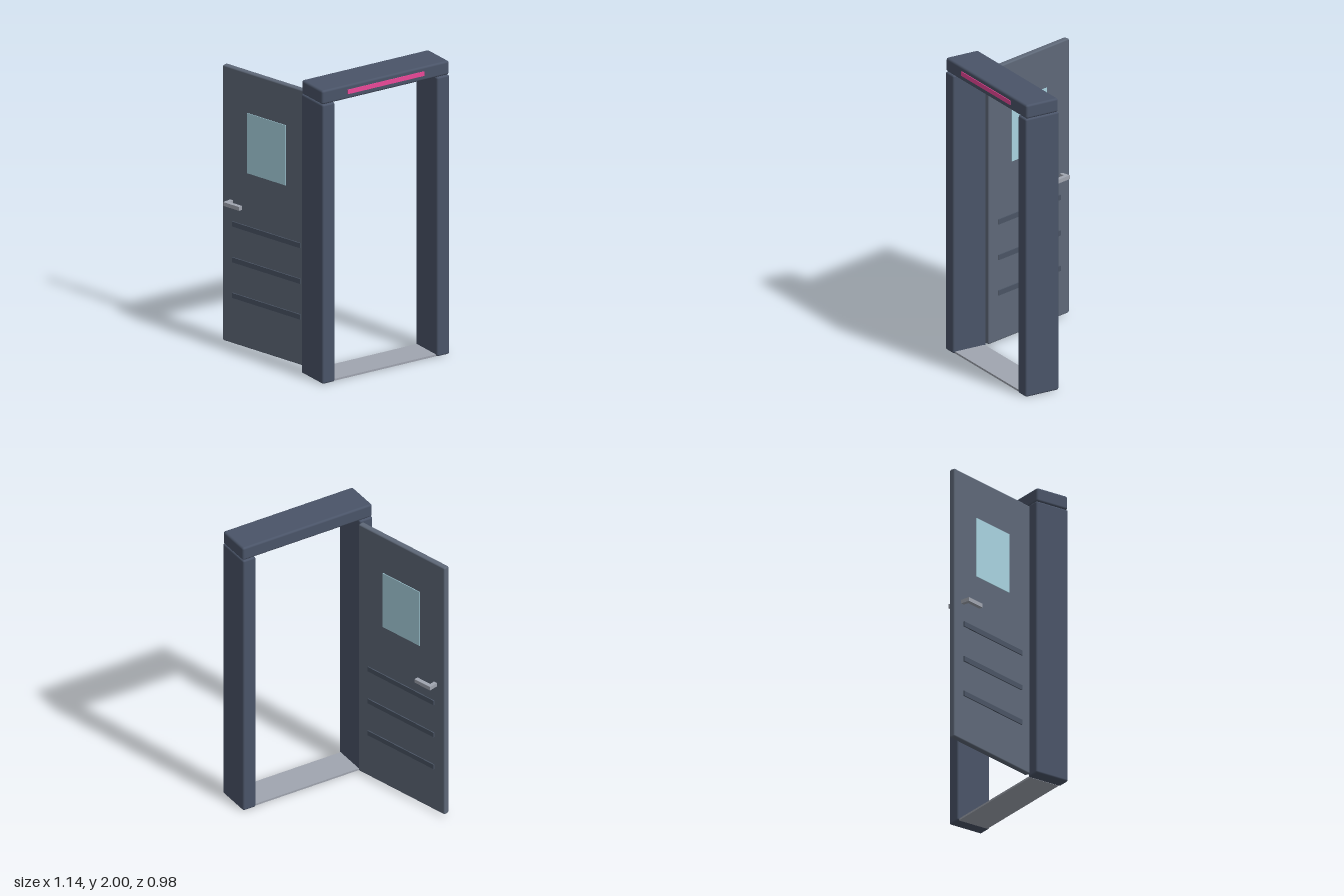
import * as THREE from 'three';
import { RoundedBoxGeometry } from 'three/addons/geometries/RoundedBoxGeometry.js';

const paint = (color) => new THREE.MeshStandardMaterial({ color });
const frameMat = paint(0x4a5468);
const doorMat = paint(0x5e6878);
const slatMat = paint(0x4a5464);
const glassMat = paint(0xa9d3e0);
const metalMat = paint(0xa0a5b0);
const lightMat = paint(0xec4899);

// Box given by its centre and size; a radius softens the edges
function addBox(parent, name, material, [x, y, z], [w, h, d], radius = 0) {
  const geometry = radius
    ? new RoundedBoxGeometry(w, h, d, 2, radius)
    : new THREE.BoxGeometry(w, h, d);
  const mesh = new THREE.Mesh(geometry, material);
  mesh.name = name;
  mesh.position.set(x, y, z);
  parent.add(mesh);
  return mesh;
}

function createFrame() {
  const frame = new THREE.Group();
  frame.name = 'doorFrame';
  const midX = 0.08, midZ = 0.365;

  // Posts, lintel and floor threshold
  for (const [name, side] of [['leftPost', 1], ['rightPost', -1]]) {
    addBox(frame, name, frameMat, [midX + side * 0.437, 0.953, midZ], [0.095, 1.905, 0.248], 0.012);
  }
  addBox(frame, 'lintel', frameMat, [midX, 1.953, midZ], [0.97, 0.094, 0.24], 0.014);
  addBox(frame, 'threshold', metalMat, [midX, 0.007, midZ], [0.79, 0.013, 0.22]);

  // Light strip on the front of the lintel
  addBox(frame, 'lightStrip', lightMat, [midX, 1.955, 0.484], [0.585, 0.03, 0.012]);
  return frame;
}

// Open door leaf: local +z is the hinge edge, local x is the thickness
function createDoor() {
  const door = new THREE.Group();
  door.name = 'door';
  door.position.set(-0.409, 0, -0.124);
  door.rotation.y = THREE.MathUtils.degToRad(15);

  addBox(door, 'doorPanel', doorMat, [0, 0.955, 0], [0.041, 1.88, 0.75], 0.01);
  addBox(door, 'window', glassMat, [0, 1.415, 0], [0.05, 0.41, 0.325]);

  // Raised bars showing on both faces
  for (const y of [0.345, 0.588, 0.832]) {
    addBox(door, 'bar', slatMat, [0, y, 0], [0.056, 0.034, 0.575]);
  }

  // Spindle through the door with a lever on each side
  addBox(door, 'handleSpindle', metalMat, [0, 0.98, -0.297], [0.125, 0.025, 0.026]);
  for (const [name, side] of [['leftLever', 1], ['rightLever', -1]]) {
    addBox(door, name, metalMat, [side * 0.072, 0.98, -0.2425], [0.028, 0.026, 0.135]);
  }
  return door;
}

export function createModel() {
  const model = new THREE.Group();
  model.name = 'openDoorway';
  model.add(createFrame(), createDoor());
  return model;
}
